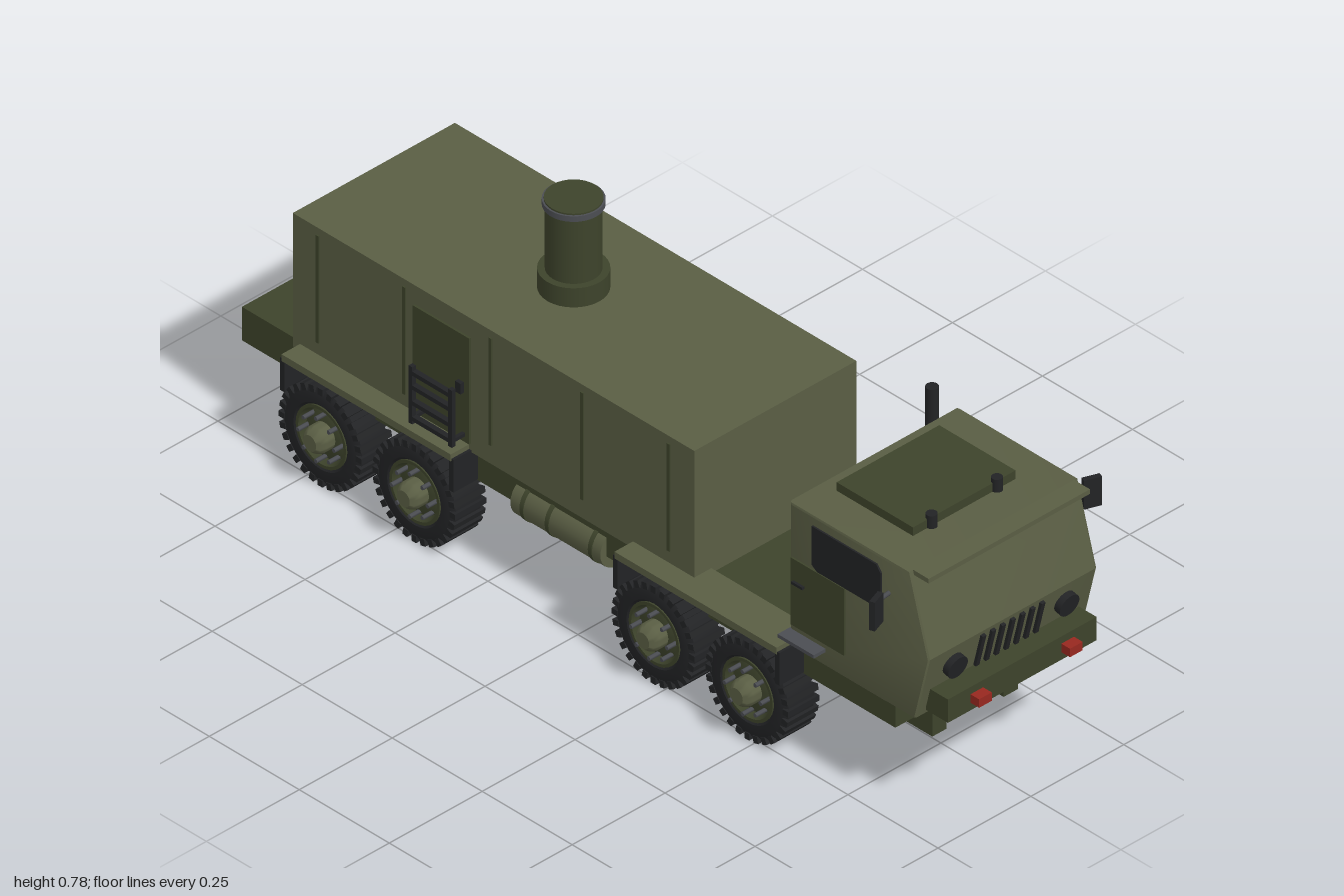
import * as THREE from 'three';
import { toCreasedNormals } from 'three/addons/utils/BufferGeometryUtils.js';

const mat = (name, color) => {
  const m = new THREE.MeshStandardMaterial({ color });
  m.name = name;
  return m;
};

export function createModel() {
  const olive = mat('olive', 0x5a5e44);
  const green = mat('darkGreen', 0x3d432b);
  const black = mat('black', 0x222325);
  const grey = mat('grey', 0x4b4d52);
  const red = mat('red', 0x97281f);

  const truck = new THREE.Group();
  truck.name = 'truck';

  const add = (name, geo, m, x = 0, y = 0, z = 0, parent = truck) => {
    const mesh = new THREE.Mesh(geo, m);
    mesh.name = name;
    mesh.position.set(x, y, z);
    parent.add(mesh);
    return mesh;
  };
  // box given by its limits on each axis
  const box = (name, m, x0, x1, y0, y1, z0, z1, parent = truck) =>
    add(name, new THREE.BoxGeometry(x1 - x0, y1 - y0, z1 - z0), m,
      (x0 + x1) / 2, (y0 + y1) / 2, (z0 + z1) / 2, parent);
  // the same box on both sides
  const pair = (name, m, x0, x1, y0, y1, z0, z1) => {
    box(name, m, x0, x1, y0, y1, z0, z1);
    box(name, m, x0, x1, y0, y1, -z1, -z0);
  };
  const cyl = (r, h, axis = 'y', n = 24) => {
    const g = new THREE.CylinderGeometry(r, r, h, n);
    if (axis === 'x') g.rotateZ(Math.PI / 2);
    if (axis === 'z') g.rotateX(Math.PI / 2);
    return g;
  };

  // Chassis
  pair('chassisRail', green, -1, 0.845, 0.12, 0.19, 0.077, 0.115);
  box('deck', green, -0.985, 0.83, 0.175, 0.254, -0.2, 0.2);
  for (const x of [-0.9, -0.58, -0.1, 0.35, 0.72])
    box('crossMember', green, x - 0.02, x + 0.02, 0.135, 0.175, -0.08, 0.08);

  // Fenders with end flaps
  for (const [a, b] of [[-0.805, -0.335], [0.12, 0.57]]) {
    pair('fender', olive, a, b, 0.25, 0.266, 0.172, 0.268);
    for (const x of [a, b]) pair('fenderFlap', black, x - 0.006, x + 0.006, 0.178, 0.255, 0.2, 0.266);
  }
  pair('cabSill', olive, 0.57, 0.83, 0.25, 0.262, 0.172, 0.225);

  // Wheels
  const p = (r, z) => new THREE.Vector2(r, z);
  const lathe = (pts) => toCreasedNormals(new THREE.LatheGeometry(pts, 32).rotateX(Math.PI / 2), 0.6);
  const tyreGeo = lathe([p(0.068, -0.034), p(0.075, -0.041), p(0.098, -0.041), p(0.109, -0.034),
    p(0.109, 0.034), p(0.098, 0.041), p(0.075, 0.041), p(0.068, 0.034), p(0.068, -0.034)]);
  const rimGeo = lathe([p(0, -0.02), p(0.05, -0.02), p(0.064, -0.038), p(0.07, -0.038), p(0.07, 0.04),
    p(0.063, 0.04), p(0.056, 0.024), p(0.04, 0.03), p(0, 0.03)]);
  const hubGeo = lathe([p(0.03, 0.02), p(0.03, 0.052), p(0.025, 0.063), p(0.018, 0.07), p(0, 0.07)]);
  const lugGeo = new THREE.BoxGeometry(0.013, 0.016, 0.084);
  const boltGeo = cyl(0.005, 0.03, 'z', 6);
  const makeWheel = () => {
    const w = new THREE.Group();
    w.name = 'wheel';
    add('tyre', tyreGeo, black, 0, 0, 0, w);
    add('rim', rimGeo, green, 0, 0, 0, w);
    add('hub', hubGeo, olive, 0, 0, 0, w);
    for (let i = 0; i < 28; i++) {
      const a = (i / 28) * Math.PI * 2;
      add('treadLug', lugGeo, black, Math.sin(a) * 0.107, Math.cos(a) * 0.107, 0, w).rotation.z = -a;
    }
    for (let i = 0; i < 8; i++) {
      const a = (i / 8) * Math.PI * 2;
      add('wheelBolt', boltGeo, grey, Math.cos(a) * 0.05, Math.sin(a) * 0.05, 0.039, w);
    }
    return w;
  };
  for (const x of [-0.705, -0.445, 0.22, 0.48]) {
    for (const s of [1, -1]) {
      const w = makeWheel();
      w.position.set(x, 0.116, s * 0.219);
      if (s < 0) w.rotation.y = Math.PI;
      truck.add(w);
    }
    add('axle', cyl(0.02, 0.4, 'z', 16), green, x, 0.116, 0);
    const diff = new THREE.IcosahedronGeometry(0.038, 0);
    add('differential', diff, green, x, 0.116, 0).material.flatShading = false;
  }
  add('driveShaft', cyl(0.01, 1.2, 'x', 12), green, -0.11, 0.116, 0);

  // Side tanks with straps
  for (const s of [1, -1]) {
    add('tank', cyl(0.045, 0.25, 'x'), olive, -0.097, 0.185, s * 0.172);
    for (const x of [-0.19, -0.12, 0.0])
      add('tankStrap', cyl(0.047, 0.01, 'x'), green, x, 0.185, s * 0.172);
  }

  // Cargo shelter
  box('shelter', olive, -0.825, 0.29, 0.25, 0.565, -0.218, 0.218);
  for (const x of [-0.755, -0.515, -0.275, -0.02, 0.22])
    pair('panelSeam', green, x - 0.004, x + 0.004, 0.295, 0.548, 0.217, 0.221);
  box('shelterDoor', green, -0.487, -0.33, 0.27, 0.52, 0.217, 0.223);
  box('doorHandle', black, -0.36, -0.345, 0.385, 0.41, 0.22, 0.232);

  // Door ladder
  for (const x of [-0.455, -0.345]) box('ladderRail', black, x - 0.005, x + 0.005, 0.275, 0.41, 0.25, 0.26);
  for (const y of [0.288, 0.325, 0.362, 0.395]) {
    box('ladderRung', black, -0.455, -0.345, y - 0.005, y + 0.005, 0.248, 0.26);
  }
  for (const x of [-0.455, -0.345]) box('ladderBracket', black, x - 0.004, x + 0.004, 0.284, 0.292, 0.218, 0.255);

  // Louvred vent
  box('vent', black, -0.74, -0.635, 0.345, 0.48, -0.223, -0.217);
  for (let i = 0; i < 6; i++) {
    const y = 0.358 + i * 0.0215;
    box('ventSlat', grey, -0.735, -0.64, y, y + 0.006, -0.228, -0.222);
  }

  // Roof mast
  add('mastBase', cyl(0.071, 0.045, 'y', 32), green, -0.27, 0.5875, 0);
  add('mast', cyl(0.056, 0.16, 'y', 32), green, -0.27, 0.685, 0);
  add('mastCollar', cyl(0.062, 0.013, 'y', 32), grey, -0.27, 0.767, 0);
  add('mastLid', cyl(0.058, 0.004, 'y', 32), green, -0.27, 0.775, 0);

  // Cab
  const b = 0.006;
  const shape = new THREE.Shape([[0.571, 0.256], [0.906, 0.256], [0.943, 0.405], [0.892, 0.584], [0.571, 0.584]]
    .map(([x, y]) => p(x, y)));
  const cabGeo = new THREE.ExtrudeGeometry(shape,
    { depth: 0.444, bevelEnabled: true, bevelSize: b, bevelThickness: b, bevelSegments: 2 });
  cabGeo.translate(0, 0, -0.222);
  add('cab', toCreasedNormals(cabGeo, 0.5), olive);

  const windowShape = new THREE.Shape([[0.63, 0.475], [0.645, 0.465], [0.822, 0.465], [0.822, 0.55], [0.81, 0.566], [0.63, 0.566]]
    .map(([x, y]) => p(x, y)));
  const windowGeo = new THREE.ExtrudeGeometry(windowShape, { depth: 0.006, bevelEnabled: false });
  for (const s of [1, -1]) add('sideWindow', windowGeo, black, 0, 0, s > 0 ? 0.226 : -0.232);
  pair('cabDoor', green, 0.572, 0.72, 0.305, 0.463, 0.226, 0.232);
  pair('cabDoorHandle', black, 0.58, 0.61, 0.407, 0.413, 0.23, 0.238);
  pair('cabStep', grey, 0.565, 0.665, 0.284, 0.292, 0.225, 0.26);

  // Sun visor, roof hatch and lamps
  box('sunVisor', olive, 0.88, 0.94, 0.579, 0.59, -0.217, 0.217);
  box('roofHatch', green, 0.603, 0.815, 0.588, 0.61, -0.138, 0.138);
  for (const z of [-0.088, 0.088]) add('hatchLamp', cyl(0.012, 0.03, 'y', 12), black, 0.815, 0.605, z);

  // Front grille, headlights, bumper
  for (let i = -3; i <= 3; i++) {
    const bar = box('grilleBar', black, 0.936, 0.944, 0.315, 0.397, i * 0.0265 - 0.005, i * 0.0265 + 0.005);
    bar.rotation.z = -0.243;
  }
  for (const z of [-0.15, 0.15]) {
    add('headlight', cyl(0.026, 0.03, 'x'), black, 0.938, 0.357, z).rotation.z = -0.2;
    box('tailLamp', red, 0.974, 1, 0.278, 0.298, z * 0.815 - 0.017, z * 0.815 + 0.017);
  }
  box('bumper', green, 0.915, 0.976, 0.26, 0.315, -0.2, 0.2);

  // Mirrors on arms
  for (const s of [1, -1]) {
    const arm = new THREE.LineCurve3(new THREE.Vector3(0.84, 0.512, s * 0.225), new THREE.Vector3(0.862, 0.528, s * 0.29));
    add('mirrorArm', new THREE.TubeGeometry(arm, 1, 0.005, 8), grey);
    const mirror = add('mirror', new THREE.BoxGeometry(0.012, 0.068, 0.038), black, 0.87, 0.514, s * 0.29);
    mirror.rotation.y = s * 0.35;
  }

  // Exhaust stack
  add('exhaustPipe', cyl(0.0135, 0.39, 'y', 16), black, 0.545, 0.46, -0.175);
  add('muffler', cyl(0.02, 0.11, 'y', 16), grey, 0.545, 0.465, -0.175);

  return truck;
}
